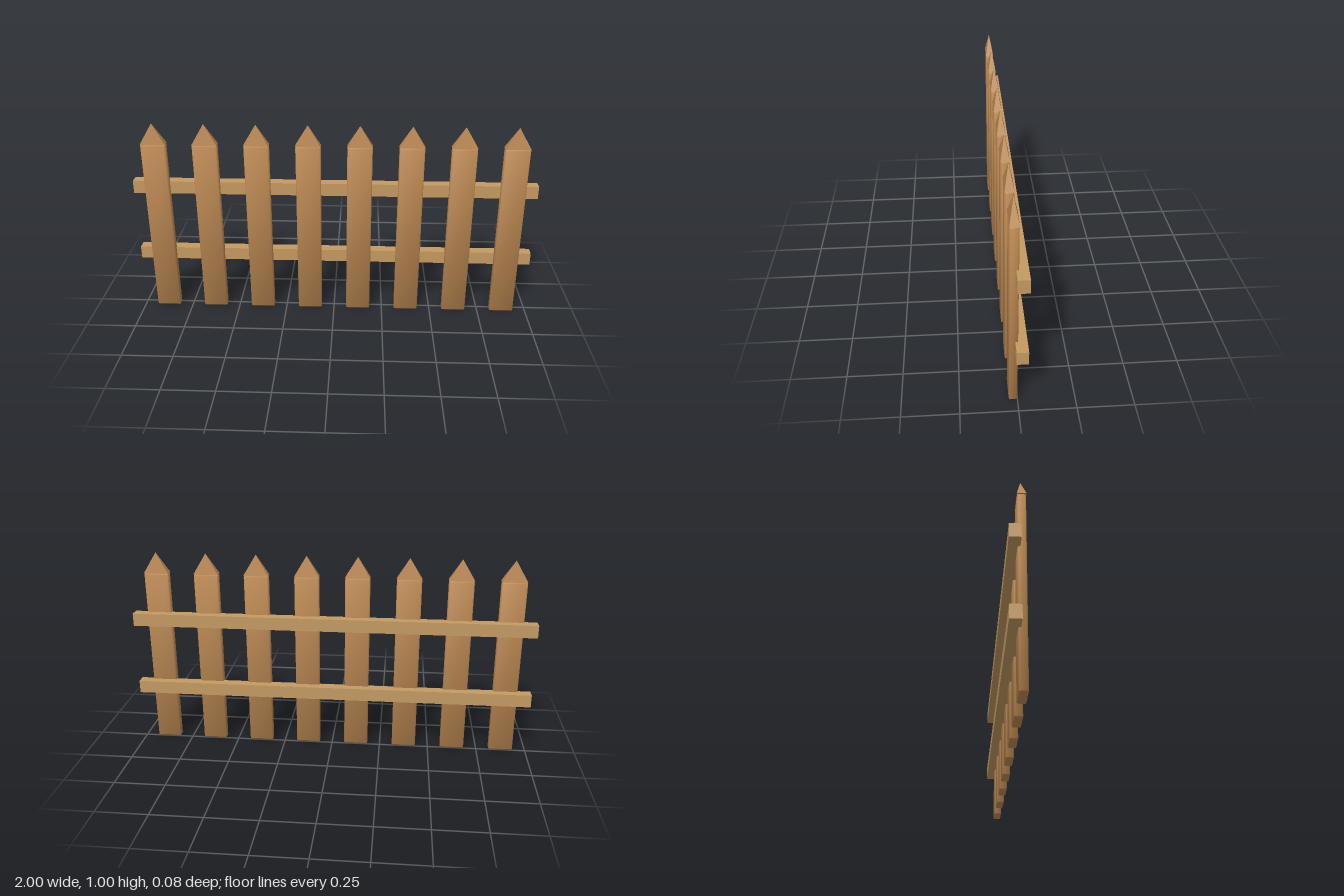
import * as THREE from 'three';

// Box with narrow rounded edges and soft normals that lean outwards near the edges
function softBox(width, height, depth, bevel) {
  const geometry = new THREE.BoxGeometry(1, 1, 1, 3, 3, 3);
  const position = geometry.attributes.position;
  const normal = geometry.attributes.normal;
  const half = [width / 2, height / 2, depth / 2];
  for (let i = 0; i < position.count; i++) {
    const grid = [position.getX(i), position.getY(i), position.getZ(i)];
    const outer = grid.map((c) => (Math.abs(c) > 0.4 ? Math.sign(c) : 0));
    const round = new THREE.Vector3(...outer).normalize().multiplyScalar(bevel);
    const inner = grid.map((c, axis) => Math.sign(c) * (half[axis] - bevel));
    position.setXYZ(i, inner[0] + round.x, inner[1] + round.y, inner[2] + round.z);
    const lean = grid.map((c) => Math.sign(c) * (Math.abs(c) > 0.4 ? 1 : 0.4));
    const n = new THREE.Vector3(...lean).normalize();
    normal.setXYZ(i, n.x, n.y, n.z);
  }
  return geometry;
}

export function createModel() {
  const fence = new THREE.Group();
  fence.name = 'picketFence';

  const picketWood = new THREE.MeshStandardMaterial({ color: 0xb98650 });
  const capWood = new THREE.MeshStandardMaterial({ color: 0xb98650, flatShading: true });
  const railWood = new THREE.MeshStandardMaterial({ color: 0xc49a62 });

  const add = (parent, name, geometry, material, x, y, z) => {
    const mesh = new THREE.Mesh(geometry, material);
    mesh.name = name;
    mesh.position.set(x, y, z);
    parent.add(mesh);
  };

  // Pickets: a soft-edged board under a four-sided pointed cap
  const boardGeometry = softBox(0.122, 0.895, 0.038, 0.006);
  const capGeometry = new THREE.ConeGeometry(Math.SQRT1_2, 1, 4, 1, false, Math.PI / 4);
  capGeometry.scale(0.123, 0.103, 0.041);
  const count = 8;
  for (let i = 0; i < count; i++) {
    const picket = new THREE.Group();
    picket.name = 'picket';
    picket.position.x = (i - (count - 1) / 2) * 0.25;
    add(picket, 'board', boardGeometry, picketWood, 0, 0.4475, 0.019);
    add(picket, 'pointedCap', capGeometry, capWood, 0, 0.9485, 0.0195);
    fence.add(picket);
  }

  // Two rails let into the backs of the pickets
  const railGeometry = new THREE.BoxGeometry(2, 0.064, 0.051);
  add(fence, 'lowerRail', railGeometry, railWood, 0, 0.298, -0.0135);
  add(fence, 'upperRail', railGeometry, railWood, 0, 0.665, -0.0135);

  return fence;
}
